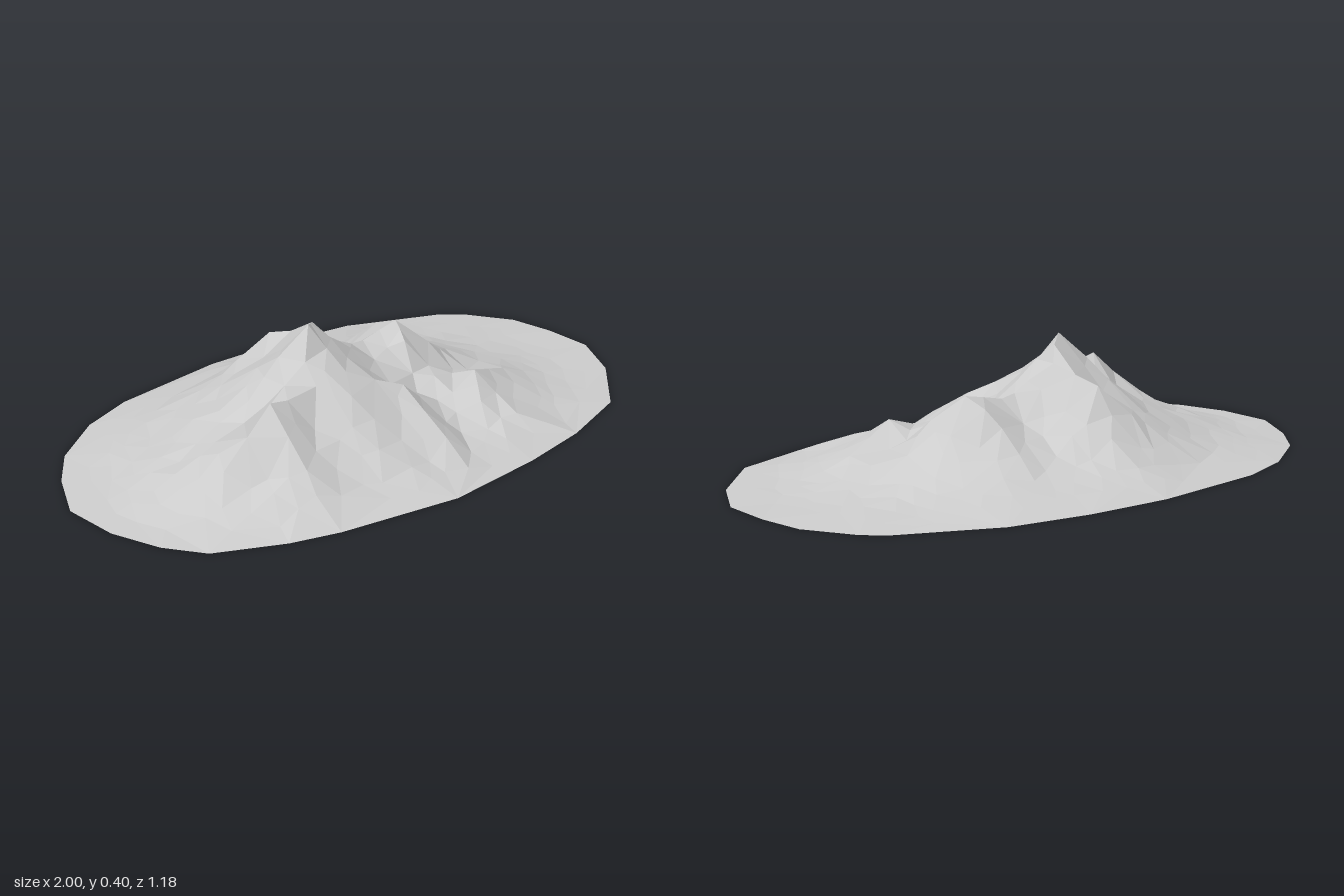
import * as THREE from 'three';

// Outline of the foot of the mountain, as x, z pairs
const OUTLINE = [
  [1, 0.05], [0.94, 0.22], [0.79, 0.41], [0.56, 0.5], [0.33, 0.55], [0, 0.59], [-0.4, 0.54],
  [-0.56, 0.5], [-0.78, 0.41], [-0.88, 0.3], [-0.96, 0.15], [-1, -0.03], [-0.94, -0.2],
  [-0.86, -0.33], [-0.7, -0.46], [-0.53, -0.53], [-0.15, -0.59], [0.13, -0.59], [0.4, -0.56],
  [0.73, -0.44], [0.8, -0.39], [0.92, -0.25], [0.97, -0.11],
];

// Ridge lines: x, z, height at both ends
const RIDGES = [
  [-0.16, 0.02, 0.405, -0.11, -0.03, 0.38], // main summit
  [-0.08, -0.07, 0.33, -0.15, -0.22, 0.277], // back shoulder
  [-0.41, 0.18, 0.277, -0.34, 0.17, 0.262], // front summit on the right flank
  [-0.41, 0.18, 0.277, -0.4, 0.36, 0.125],
  [-0.41, 0.18, 0.277, -0.6, 0.21, 0.12],
  [-0.1, 0.14, 0.26, 0.08, 0.2, 0.2], // front bulge
  [0.08, 0.2, 0.2, 0.1, 0.4, 0.095],
  [0.0, -0.04, 0.26, 0.11, -0.06, 0.24], // saddle
  [0.11, -0.06, 0.24, 0.25, -0.07, 0.267], // summit on the left flank
  [0.25, -0.07, 0.267, 0.22, 0.02, 0.245],
  [0.25, -0.07, 0.267, 0.22, -0.14, 0.235],
  [0.38, 0.19, 0.153, 0.32, 0.3, 0.11], // low front summit and its spur
  [0.32, 0.3, 0.11, 0.5, 0.45, 0.03],
  [0.38, 0.19, 0.153, 0.56, 0.12, 0.075],
];

// Gullies: x, z at both ends, share of the height removed, width
const GULLIES = [
  [-0.27, 0.27, -0.2, 0.45, 0.15, 0.07],
  [-0.7, 0.3, -0.52, 0.28, 0.25, 0.05],
  [-0.62, 0.02, -0.45, 0.05, 0.2, 0.06],
  [0.2, 0.12, 0.2, 0.4, 0.3, 0.07],
  [0.25, 0.34, 0.45, 0.48, 0.3, 0.05],
  [0.3, 0.09, 0.45, 0.07, 0.2, 0.05],
  [0.05, -0.17, 0.1, -0.35, 0.15, 0.08],
];

// Seeded random numbers between -1 and 1
let seed = 11;
function rnd() {
  seed = (seed * 16807) % 2147483647;
  return (seed / 2147483647) * 2 - 1;
}

// Distance from a point inside the outline to its edge along a direction
function reach(x, z, dx, dz) {
  let best = Infinity;
  OUTLINE.forEach(([ax, az], i) => {
    const [bx, bz] = OUTLINE[(i + 1) % OUTLINE.length];
    const ex = bx - ax, ez = bz - az;
    const det = dx * ez - dz * ex;
    if (Math.abs(det) < 1e-9) return;
    const t = ((ax - x) * ez - (az - z) * ex) / det;
    const s = ((ax - x) * dz - (az - z) * dx) / det;
    if (t > 0 && s >= -1e-6 && s <= 1 + 1e-6) best = Math.min(best, t);
  });
  return best;
}

// Nearest place on a segment: its share of the length, position and distance
function nearest(x, z, ax, az, bx, bz) {
  const ex = bx - ax, ez = bz - az;
  const t = THREE.MathUtils.clamp(((x - ax) * ex + (z - az) * ez) / (ex * ex + ez * ez), 0, 1);
  const qx = ax + ex * t, qz = az + ez * t;
  return { t, qx, qz, d: Math.hypot(x - qx, z - qz) };
}

// Each ridge falls away to zero at the outline; the highest wins, then gullies cut in
function height(x, z) {
  let top = 0;
  for (const [ax, az, ah, bx, bz, bh] of RIDGES) {
    const { t, qx, qz, d } = nearest(x, z, ax, az, bx, bz);
    const h = ah + (bh - ah) * t;
    if (d < 1e-5) { top = Math.max(top, h); continue; }
    const dx = (x - qx) / d, dz = (z - qz) / d;
    const f = Math.min(1, d / reach(qx, qz, dx, dz));
    const steepness = (dx > 0 ? 2.9 : 2.15) * dx * dx + (dz > 0 ? 1.3 : 1.8) * dz * dz;
    // Straight foot slope towards front and back
    const foot = 0.58 * dz * dz * (1 - f);
    top = Math.max(top, h * Math.max(Math.pow(1 - f, steepness), foot));
  }
  for (const [ax, az, bx, bz, depth, width] of GULLIES) {
    const { d } = nearest(x, z, ax, az, bx, bz);
    top *= 1 - depth * Math.exp(-((d / width) ** 2));
  }
  return top;
}

// Delaunay triangles over x, z points, wound to face up
function triangulate(points) {
  const all = [...points, [-60, -40], [60, -40], [0, 80]];
  const n = points.length;
  const make = (a, b, c) => {
    const [ax, az] = all[a];
    const bx = all[b][0] - ax, bz = all[b][1] - az, cx = all[c][0] - ax, cz = all[c][1] - az;
    const det = 2 * (bx * cz - bz * cx);
    const bb = bx * bx + bz * bz, cc = cx * cx + cz * cz;
    const ux = (cz * bb - bz * cc) / det, uz = (bx * cc - cx * bb) / det;
    return { v: det < 0 ? [a, b, c] : [a, c, b], x: ax + ux, z: az + uz, r: ux * ux + uz * uz };
  };
  let tris = [make(n, n + 1, n + 2)];
  for (let p = 0; p < n; p++) {
    const [x, z] = all[p];
    const edges = new Map();
    tris = tris.filter((t) => {
      if ((x - t.x) ** 2 + (z - t.z) ** 2 >= t.r) return true;
      for (let k = 0; k < 3; k++) {
        const e = [t.v[k], t.v[(k + 1) % 3]].sort((a, b) => a - b);
        const key = e.join();
        if (!edges.delete(key)) edges.set(key, e);
      }
      return false;
    });
    for (const [a, b] of edges.values()) tris.push(make(a, b, p));
  }
  return tris.filter((t) => t.v.every((i) => i < n)).flatMap((t) => t.v);
}

function createTerrain() {
  const points = OUTLINE.map((p) => [...p]);
  const clear = (x, z, gap) => points.every((p) => Math.hypot(p[0] - x, p[1] - z) > gap);

  // Vertices along the ridges keep the crests sharp
  for (const [ax, az, , bx, bz] of RIDGES) {
    for (const t of [0, 0.5, 1]) {
      const x = ax + (bx - ax) * t, z = az + (bz - az) * t;
      if (clear(x, z, 0.03)) points.push([x, z]);
    }
  }
  const fixed = points.length;

  // Scattered vertices over the slopes
  const step = 0.08;
  for (let row = -8; row <= 8; row++) {
    for (let col = -13; col <= 13; col++) {
      const x = (col + (row % 2) / 2 + rnd() * 0.3) * step;
      const z = (row + rnd() * 0.3) * step * 0.9;
      const r = Math.hypot(x, z);
      if (r < 0.93 * reach(0, 0, x / r, z / r) && clear(x, z, 0.045)) points.push([x, z]);
    }
  }

  const positions = points.flatMap(([x, z], i) => {
    if (i < OUTLINE.length) return [x, 0, z];
    return [x, height(x, z) * (i < fixed ? 1 : 1 + rnd() * 0.04), z];
  });
  const geometry = new THREE.BufferGeometry();
  geometry.setAttribute('position', new THREE.Float32BufferAttribute(positions, 3));
  geometry.setIndex(triangulate(points));
  geometry.computeVertexNormals();
  return geometry;
}

export function createModel() {
  seed = 11;
  const group = new THREE.Group();
  group.name = 'mountain';
  // Open shell, hollow underneath
  const material = new THREE.MeshStandardMaterial({
    color: 0xcccccc, flatShading: true, side: THREE.DoubleSide,
  });
  const terrain = new THREE.Mesh(createTerrain(), material);
  terrain.name = 'mountainTerrain';
  group.add(terrain);
  return group;
}
